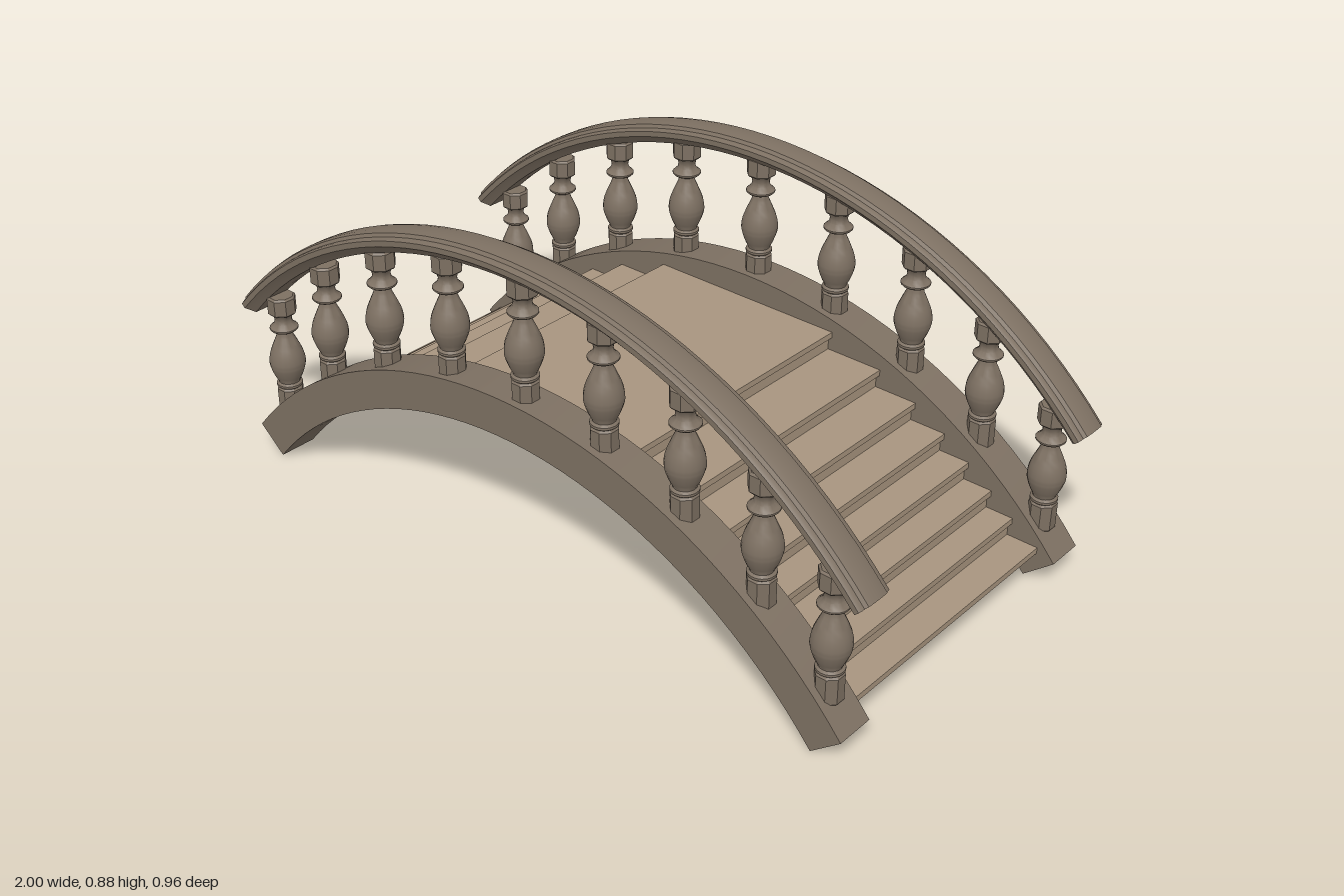
import * as THREE from 'three';
import { toCreasedNormals } from 'three/addons/utils/BufferGeometryUtils.js';

const rad = THREE.MathUtils.degToRad;
const wood = new THREE.MeshStandardMaterial({ color: 0x7d7062 });
const capWood = new THREE.MeshStandardMaterial({ color: 0x7d7062, side: THREE.DoubleSide });
const deckWood = new THREE.MeshStandardMaterial({ color: 0xa8957f });

const SIDE_Z = 0.4265;              // centre line of each side of the bridge
const ARCH_Y = -0.7425;             // centre of the arch circle
const RAIL_Y = -0.472;              // centre of the handrail circle
const V = (x, y) => new THREE.Vector2(x, y);

function mesh(name, geometry, material) {
  const m = new THREE.Mesh(geometry, material);
  m.name = name;
  return m;
}

// Sweeps a closed profile of (radius, z) along an arc over the top, with flat ends
function arcBeam(name, profile, degrees, segments) {
  const group = new THREE.Group();
  group.name = name;
  const half = rad(degrees);
  const body = new THREE.LatheGeometry([...profile, profile[0]], segments, -half, 2 * half);
  body.rotateX(-Math.PI / 2);
  group.add(mesh(name + 'Body', toCreasedNormals(body, rad(25)), wood));
  for (const phi of [-half, half]) {
    const cap = new THREE.ShapeGeometry(new THREE.Shape(profile));
    cap.rotateY(phi - Math.PI / 2).rotateX(-Math.PI / 2);
    group.add(mesh(name + 'End', cap, capWood));
  }
  return group;
}

// Eight-sided block used at the foot and head of a baluster
function block(name, radius, y0, y1) {
  const r = radius / Math.cos(Math.PI / 8), b = 0.005;
  const pts = [V(0, y0), V(r - b, y0), V(r, y0 + b), V(r, y1 - b), V(r - b, y1), V(0, y1)];
  const g = new THREE.LatheGeometry(pts, 8, Math.PI / 8);
  return mesh(name, toCreasedNormals(g, rad(20)), wood);
}

function baluster() {
  const group = new THREE.Group();
  group.name = 'baluster';
  group.add(block('balusterFoot', 0.032, 0, 0.077));
  const bulb = new THREE.SplineCurve([
    V(0.028, 0.094), V(0.037, 0.112), V(0.045, 0.135), V(0.047, 0.152),
    V(0.043, 0.177), V(0.032, 0.205), V(0.022, 0.228), V(0.019, 0.242),
  ]).getPoints(18);
  const profile = [
    V(0, 0.072), V(0.028, 0.076), V(0.034, 0.081), V(0.034, 0.087), V(0.028, 0.092),
    ...bulb,
    V(0.033, 0.245), V(0.037, 0.249), V(0.037, 0.253), V(0.031, 0.258),
    V(0.024, 0.266), V(0.022, 0.276), V(0.025, 0.288), V(0.031, 0.296), V(0, 0.298),
  ];
  const turned = new THREE.LatheGeometry(profile, 20);
  group.add(mesh('balusterVase', toCreasedNormals(turned, rad(40)), wood));
  group.add(block('balusterHead', 0.035, 0.293, 0.345));
  return group;
}

// Stringer, handrail and nine balusters
function bridgeSide() {
  const group = new THREE.Group();
  group.name = 'bridgeSide';

  const w = 0.0515;
  const stringer = arcBeam('stringer',
    [V(1.155, -w), V(1.2575, -w), V(1.2575, w), V(1.155, w)], 50, 40);
  stringer.position.y = ARCH_Y;
  group.add(stringer);

  const half = [
    V(1.3495, 0.018), V(1.346, 0.032), V(1.338, 0.038), V(1.337, 0.046),
    V(1.333, 0.053), V(1.319, 0.053), V(1.310, 0.043), V(1.297, 0.031),
  ];
  const mirrored = half.map(p => V(p.x, -p.y)).reverse();
  const rail = arcBeam('handrail', [...mirrored, V(1.35, 0), ...half], 47.8, 40);
  rail.position.y = RAIL_Y;
  group.add(rail);

  for (let i = -4; i <= 4; i++) {
    const a = rad(i * 11.25);
    const b = baluster();
    b.position.set(1.2575 * Math.sin(a), ARCH_Y + 1.2575 * Math.cos(a) - 0.028, 0);
    group.add(b);
  }
  return group;
}

function stairs() {
  const group = new THREE.Group();
  group.name = 'stairs';
  const nosings = [0.28, 0.43, 0.54, 0.63, 0.705, 0.775, 0.84, 0.915];
  const depth = 0.754, rise = 0.0512, top = 0.45, thick = 0.016, overhang = 0.01;
  const treadTop = i => top - rise * i;

  // Treads: one landing board, then a board per step on each side
  const addTread = (name, x0, x1, y) => {
    const t = mesh(name, new THREE.BoxGeometry(x1 - x0, thick, depth), deckWood);
    t.position.set((x0 + x1) / 2, y - thick / 2, 0);
    group.add(t);
  };
  addTread('landing', -nosings[0], nosings[0], top);
  for (let i = 1; i < nosings.length; i++) {
    const inner = nosings[i - 1] - overhang - 0.004;
    addTread('treadLeft', inner, nosings[i], treadTop(i));
    addTread('treadRight', -nosings[i], -inner, treadTop(i));
  }

  // Risers and curved underside as one solid
  const right = [];
  for (let i = 0; i < nosings.length - 1; i++) {
    const x = nosings[i] - overhang;
    right.push(V(x, treadTop(i) - thick / 2), V(x, treadTop(i + 1) - thick / 2));
  }
  right.push(V(nosings[7] - overhang, treadTop(7) - thick / 2));
  right.push(V(nosings[7] - overhang, treadTop(7) - thick));
  const soffit = [];
  const end = Math.asin(0.835 / 1.166);
  for (let i = 0; i <= 16; i++) {
    const a = end * (1 - i / 8);
    soffit.push(V(1.166 * Math.sin(a), ARCH_Y + 1.166 * Math.cos(a)));
  }
  const left = right.map(p => V(-p.x, p.y)).reverse();
  const core = new THREE.ExtrudeGeometry(new THREE.Shape([...right, ...soffit, ...left]),
    { depth: depth - 0.002, bevelEnabled: false });
  core.translate(0, 0, -(depth - 0.002) / 2);
  group.add(mesh('risersAndSoffit', core, deckWood));
  return group;
}

export function createModel() {
  const model = new THREE.Group();
  model.name = 'archedFootbridge';
  for (const s of [1, -1]) {
    const side = bridgeSide();
    side.position.z = s * SIDE_Z;
    model.add(side);
  }
  model.add(stairs());
  return model;
}
